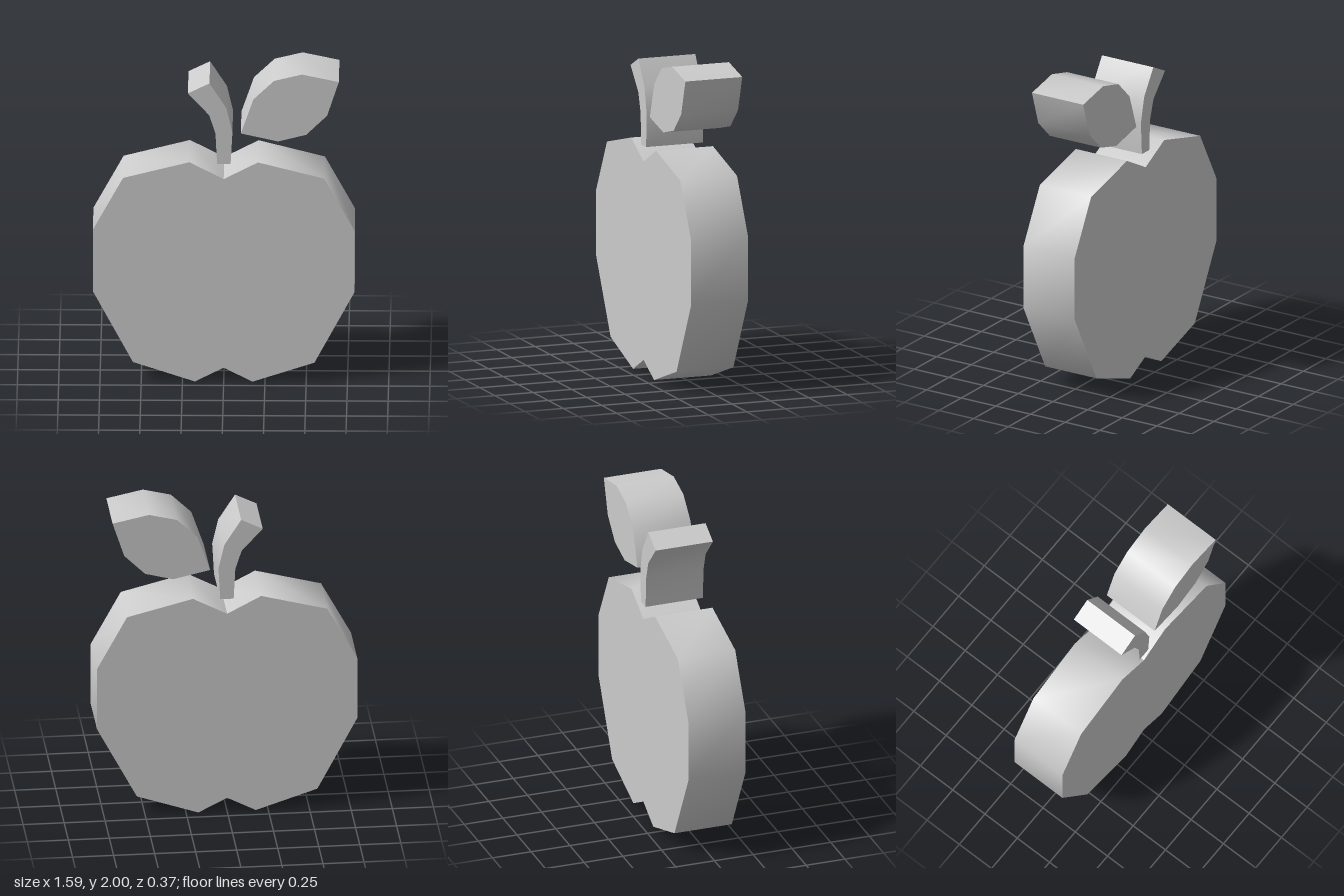
import * as THREE from 'three';
import { toCreasedNormals } from 'three/addons/utils/BufferGeometryUtils.js';

const DEPTH = 0.37;
const CREASE = 0.87; // sides shade smoothly, notches and tips stay sharp

// Flat outline extruded to a slab centred on z = 0
function slab(name, points, material) {
  const shape = new THREE.Shape(points.map(([x, y]) => new THREE.Vector2(x, y)));
  const geometry = new THREE.ExtrudeGeometry(shape, { depth: DEPTH, bevelEnabled: false });
  geometry.translate(0, 0, -DEPTH / 2);
  const mesh = new THREE.Mesh(toCreasedNormals(geometry, CREASE), material);
  mesh.name = name;
  return mesh;
}

export function createModel() {
  const group = new THREE.Group();
  group.name = 'apple';
  const grey = new THREE.MeshStandardMaterial({ color: 0xcccccc });

  // Fruit: right half from bottom to top, mirrored between the two notches
  const half = [[0.175, 0], [0.55, 0.125], [0.793, 0.585], [0.793, 0.985], [0.61, 1.323], [0.208, 1.427]];
  const mirrored = half.map(([x, y]) => [-x, y]).reverse();
  group.add(slab('fruit', [[0, 0.09], ...half, [0, 1.318], ...mirrored], grey));

  // Stem: curved, widening to a slanted top
  group.add(slab('stem', [
    [-0.04, 1.417], [0.042, 1.417], [0.053, 1.62], [0.016, 1.78],
    [-0.086, 1.94], [-0.217, 1.875], [-0.088, 1.733], [-0.05, 1.615],
  ], grey));

  // Leaf: pointed at both ends
  group.add(slab('leaf', [
    [0.104, 1.615], [0.33, 1.564], [0.5, 1.608], [0.627, 1.733],
    [0.698, 1.952], [0.475, 2], [0.305, 1.958], [0.18, 1.837],
  ], grey));

  return group;
}
